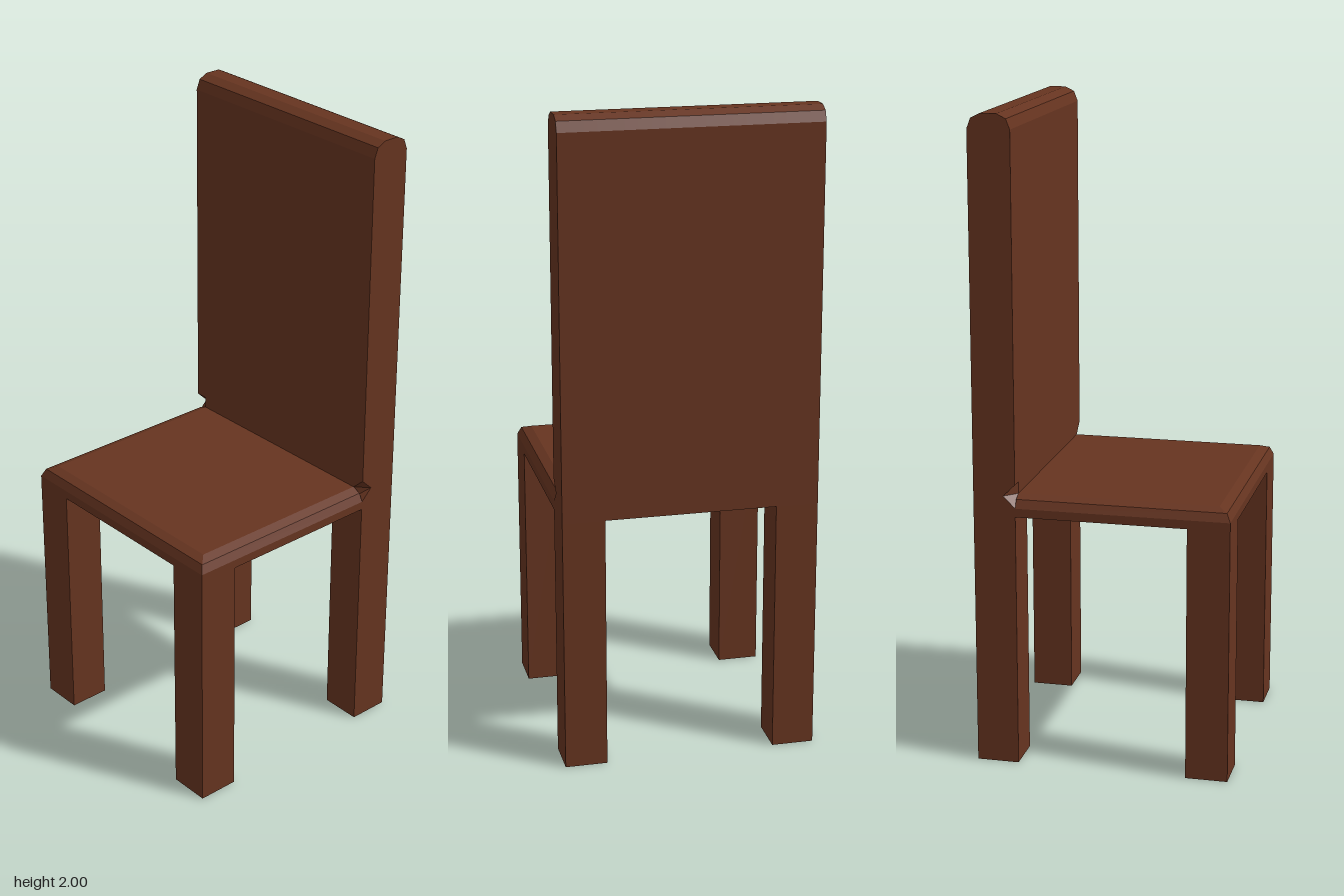
import * as THREE from 'three';
import { ConvexGeometry } from 'three/addons/geometries/ConvexGeometry.js';

const HALF = 0.393;   // half width and depth of the chair
const LEG = 0.13;     // leg and backrest thickness
const UNDER = 0.793;  // underside of the seat
const BACK_X = HALF - LEG;

export function createModel() {
  const chair = new THREE.Group();
  chair.name = 'chair';
  const wood = new THREE.MeshStandardMaterial({ color: 0x663420, flatShading: true });

  const add = (name, geometry) => {
    const mesh = new THREE.Mesh(geometry, wood);
    mesh.name = name;
    chair.add(mesh);
    return mesh;
  };

  // Four square legs, the rear pair under the backrest
  for (const sx of [-1, 1]) {
    for (const sz of [-1, 1]) {
      const leg = add(
        (sx < 0 ? 'front' : 'rear') + (sz < 0 ? 'RightLeg' : 'LeftLeg'),
        new THREE.BoxGeometry(LEG, UNDER, LEG)
      );
      leg.position.set(sx * (HALF - LEG / 2), UNDER / 2, sz * (HALF - LEG / 2));
    }
  }

  // Seat slab with a two-step bevel on its three free edges
  const corners = [];
  for (const [inset, y] of [[0, UNDER], [0, 0.82], [0.012, 0.846], [0.04, 0.857]]) {
    for (const x of [-HALF + inset, BACK_X]) {
      for (const sz of [-1, 1]) corners.push(new THREE.Vector3(x, y, sz * (HALF - inset)));
    }
  }
  add('seat', new ConvexGeometry(corners));

  // Backrest panel with a bevelled top; the side edges are nicked where the seat bevel meets it
  const nickX = BACK_X + 0.037;
  const nickY = 0.857;
  const profile = [
    [BACK_X, UNDER], [HALF, UNDER], [HALF, 1.955], [HALF - 0.012, 1.986], [HALF - 0.04, 2],
    [BACK_X + 0.04, 2], [BACK_X + 0.012, 1.986], [BACK_X, 1.955],
    [BACK_X, 0.893], [nickX, nickY], [BACK_X, 0.82],
  ].map(([x, y]) => new THREE.Vector2(x, y));
  const panel = new THREE.ExtrudeGeometry(new THREE.Shape(profile), {
    depth: 2 * HALF, steps: 20, bevelEnabled: false,
  });
  panel.translate(0, 0, -HALF);
  // Keep the nick at the outer ends only
  const pos = panel.attributes.position;
  for (let i = 0; i < pos.count; i++) {
    const atNick = Math.abs(pos.getX(i) - nickX) < 1e-4 && Math.abs(pos.getY(i) - nickY) < 1e-4;
    if (atNick && Math.abs(pos.getZ(i)) < HALF - 0.01) pos.setX(i, BACK_X);
  }
  panel.computeVertexNormals();
  add('backrest', panel);

  return chair;
}
